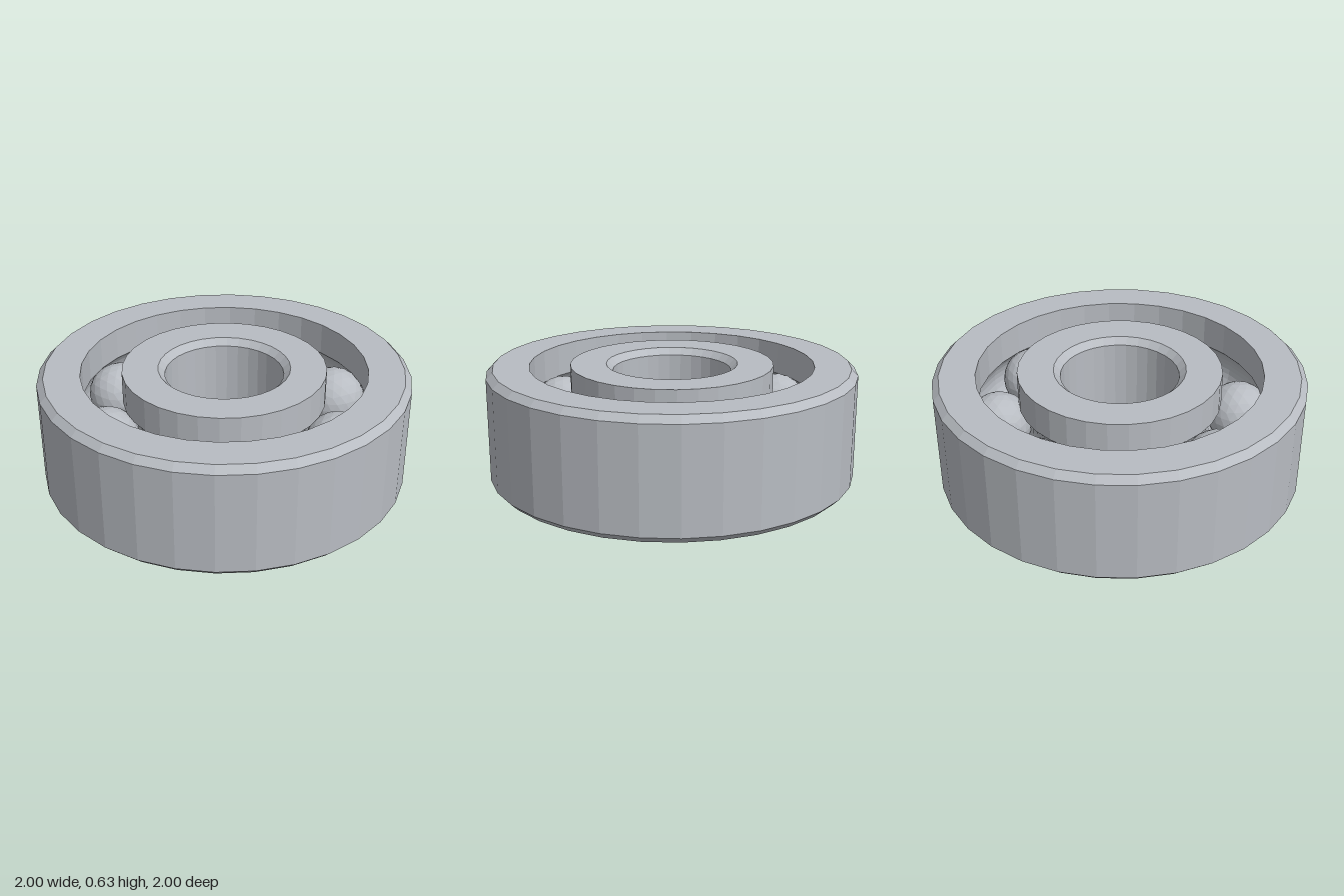
import * as THREE from 'three';

const HEIGHT = 0.63, MID = HEIGHT / 2;
const PITCH = 0.66, BALL_RADIUS = 0.175, BALLS = 8;
const SEGMENTS = 32, CHAMFER = 0.036;

// Points of a groove arc around the ball centre, between two angles
function grooveArc(from, to, steps = 10) {
  return Array.from({ length: steps + 1 }, (_, i) => {
    const a = from + (to - from) * i / steps;
    return [PITCH + BALL_RADIUS * Math.cos(a), MID + BALL_RADIUS * Math.sin(a)];
  });
}

// Closed counter-clockwise profile of [radius, y] turned into a ring
function ring(name, profile, material) {
  const points = [...profile, profile[0]].map(([r, y]) => new THREE.Vector2(r, y));
  const mesh = new THREE.Mesh(new THREE.LatheGeometry(points, SEGMENTS), material);
  mesh.name = name;
  return mesh;
}

export function createModel() {
  const model = new THREE.Group();
  model.name = 'ballBearing';

  const steel = new THREE.MeshStandardMaterial({ color: 0xb8bcc2, flatShading: true });
  steel.name = 'steel';

  // Half angle of the groove where it meets the ring walls
  const open = Math.acos(0.11 / BALL_RADIUS);

  // Outer ring: chamfered outside, ball groove inside
  model.add(ring('outerRing', [
    [0.77, 0], [1 - CHAMFER, 0], [1, CHAMFER],
    [1, HEIGHT - CHAMFER], [1 - CHAMFER, HEIGHT], [0.77, HEIGHT],
    ...grooveArc(open, -open),
  ], steel));

  // Inner ring: ball groove outside, chamfered bore
  model.add(ring('innerRing', [
    [0.32 + CHAMFER, 0], [0.55, 0],
    ...grooveArc(Math.PI + open, Math.PI - open),
    [0.55, HEIGHT], [0.32 + CHAMFER, HEIGHT],
    [0.32, HEIGHT - CHAMFER], [0.32, CHAMFER],
  ], steel));

  // Faceted balls, each with a corner pointing straight up
  const ballGeometry = new THREE.IcosahedronGeometry(BALL_RADIUS, 3);
  ballGeometry.rotateZ(-Math.atan2(2, 1 + Math.sqrt(5)));
  const balls = new THREE.Group();
  balls.name = 'balls';
  for (let i = 0; i < BALLS; i++) {
    const a = i / BALLS * Math.PI * 2;
    const ball = new THREE.Mesh(ballGeometry, steel);
    ball.name = 'ball' + (i + 1);
    ball.position.set(PITCH * Math.sin(a), MID, PITCH * Math.cos(a));
    balls.add(ball);
  }
  model.add(balls);

  return model;
}
